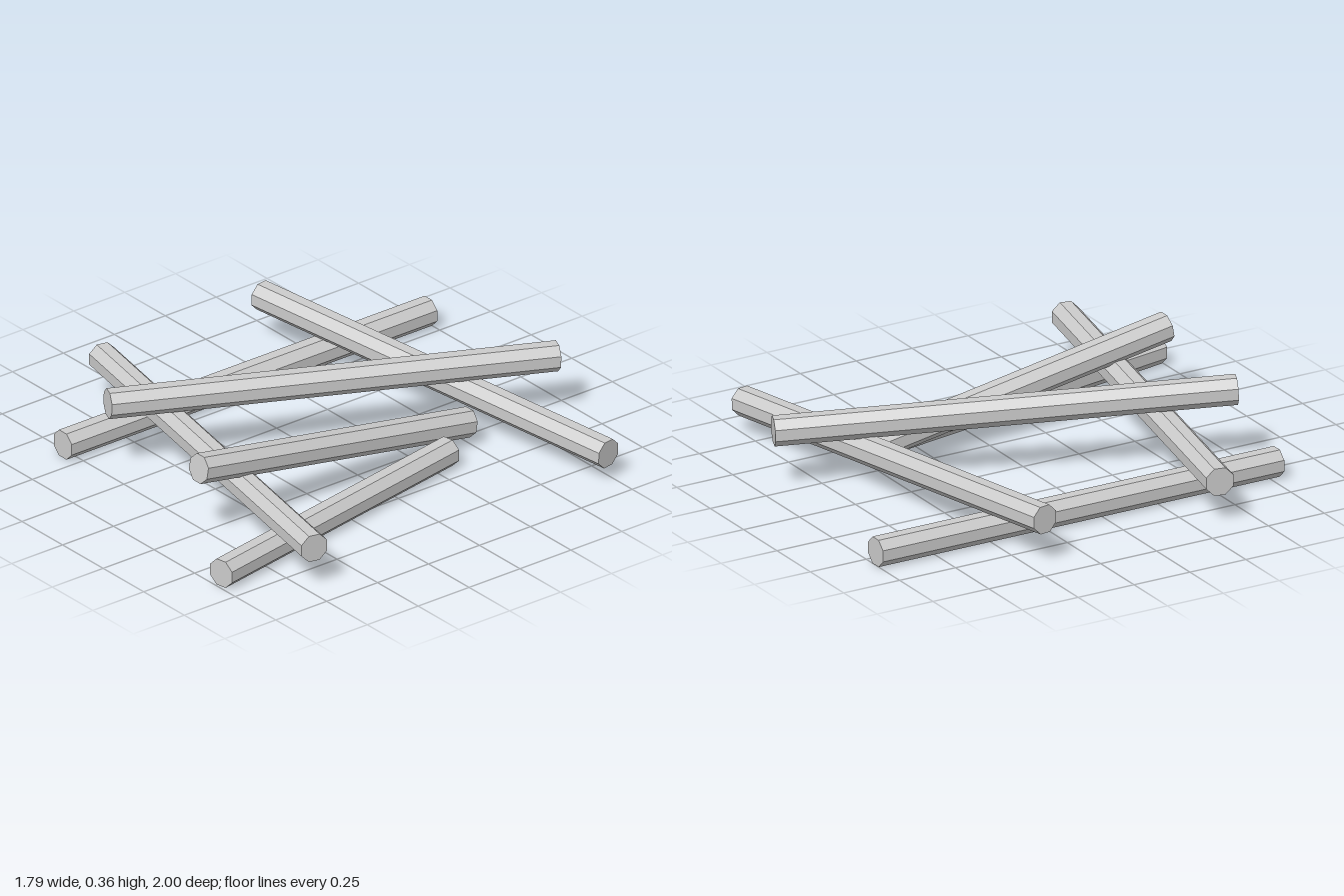
import * as THREE from 'three';

const RADIUS = 0.06;

// Octagonal stick between two end centres, one flat facing up
function makeStick(name, start, end, material) {
  const a = new THREE.Vector3(...start);
  const b = new THREE.Vector3(...end);
  const geometry = new THREE.CylinderGeometry(RADIUS, RADIUS, a.distanceTo(b), 8);
  geometry.rotateY(Math.PI / 8).rotateX(Math.PI / 2);
  const stick = new THREE.Mesh(geometry, material);
  stick.name = name;
  stick.position.copy(a).add(b).multiplyScalar(0.5);
  stick.lookAt(b);
  return stick;
}

export function createModel() {
  const group = new THREE.Group();
  group.name = 'stickPile';
  const material = new THREE.MeshStandardMaterial({ color: 0xcccccc, flatShading: true });

  const sticks = [
    // resting on the ground
    ['leftGroundStick', [-0.57, 0.055, -1], [-0.57, 0.055, 0.795]],
    ['rightGroundStick', [0.393, 0.055, -0.33], [0.648, 0.055, 0.988]],
    // lying across the ground sticks
    ['backCrossStick', [-0.885, 0.18, -0.43], [0.885, 0.115, -0.725]],
    ['frontCrossStick', [-0.88, 0.17, 0.355], [0.88, 0.17, 0.715]],
    // leaning on top
    ['topDiagonalStick', [-0.368, 0.295, 0.735], [0.305, 0.236, -0.935]],
    ['topLeaningStick', [0.293, 0.083, -0.507], [0.293, 0.308, 0.815]],
  ];
  for (const [name, start, end] of sticks) group.add(makeStick(name, start, end, material));
  return group;
}
